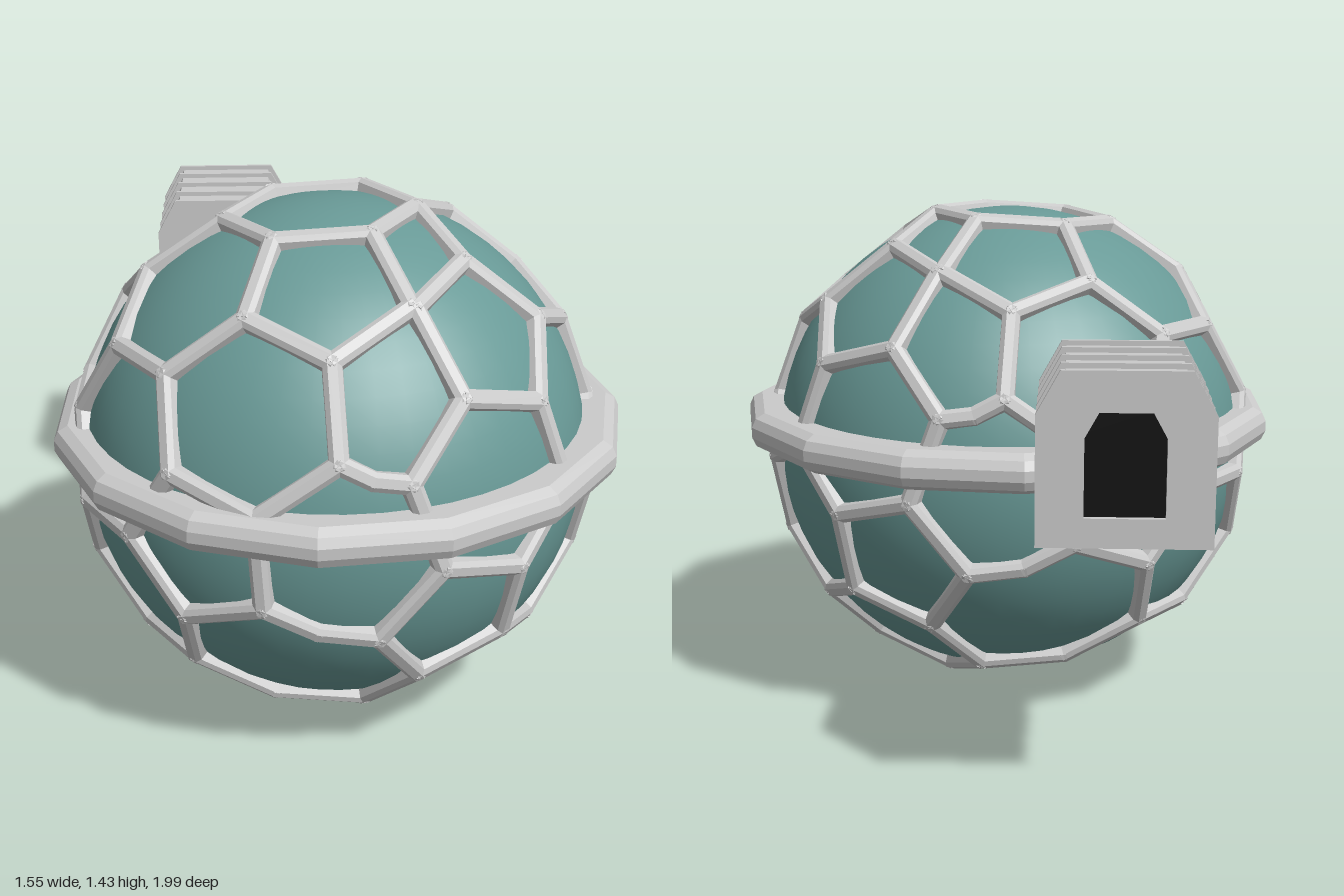
import * as THREE from 'three';

const grey = new THREE.MeshStandardMaterial({ color: 0xcccccc, flatShading: true });
const teal = new THREE.MeshStandardMaterial({ color: 0x699a97 });
const dark = new THREE.MeshStandardMaterial({ color: 0x111111 });
const CENTRE = new THREE.Vector3(-0.02, 0.735, 0.215);
const R = 0.715;

function add(parent, name, geometry, material) {
  const mesh = new THREE.Mesh(geometry, material);
  mesh.name = name;
  parent.add(mesh);
  return mesh;
}

// Corners of a honeycomb on the unit sphere, from the faces of an icosahedron
function honeycombPoints() {
  const g = (1 + Math.sqrt(5)) / 2, verts = [], points = [];
  for (const i of [1, -1]) for (const j of [g, -g]) {
    verts.push([j, i, 0], [0, j, i], [i, 0, j]);
  }
  const v = verts.map(p => new THREE.Vector3(...p).normalize());
  const near = (a, b) => a.dot(b) > 0.4;
  const mid = (a, b) => a.clone().add(b).normalize();
  for (let a = 0; a < 12; a++) for (let b = a + 1; b < 12; b++) for (let c = b + 1; c < 12; c++) {
    const f = [v[a], v[b], v[c]];
    if (!(near(f[0], f[1]) && near(f[1], f[2]) && near(f[0], f[2]))) continue;
    points.push(f[0].clone().add(f[1]).add(f[2]).normalize());
    for (let k = 0; k < 3; k++) {
      const p = f[k], q = f[(k + 1) % 3], r = f[(k + 2) % 3];
      points.push(p.clone().add(mid(p, q)).add(mid(p, r)).normalize());
    }
  }
  const tilt = new THREE.Vector3(0, 0, 1);
  return points.map(p => p.applyAxisAngle(tilt, THREE.MathUtils.degToRad(3.3)));
}

// Bar with bevelled outer face running between two points of the sphere
const barSection = new THREE.Shape([[-0.027, -0.04], [0.027, -0.04], [0.024, 0.004],
  [0.012, 0.015], [-0.012, 0.015], [-0.024, 0.004]].map(p => new THREE.Vector2(...p)));
function bar(parent, a, b) {
  const p = a.clone().multiplyScalar(R), q = b.clone().multiplyScalar(R);
  const along = q.clone().sub(p), length = along.length();
  if (length < 0.012) return;
  along.normalize();
  const out = p.clone().add(q).normalize();
  const side = new THREE.Vector3().crossVectors(out, along).normalize();
  out.crossVectors(along, side);
  const geometry = new THREE.ExtrudeGeometry(barSection, { depth: length + 0.014, bevelEnabled: false });
  geometry.translate(0, 0, -0.007);
  geometry.applyMatrix4(new THREE.Matrix4().makeBasis(side, out, along).setPosition(p));
  add(parent, 'latticeBar', geometry, grey);
}

// Half of the honeycomb, cut at a tilted plane and mirrored across it
function lattice() {
  const group = new THREE.Group();
  group.name = 'honeycombLattice';
  const angle = THREE.MathUtils.degToRad(72.3);
  const n = new THREE.Vector3(Math.sin(angle), -Math.cos(angle), 0);
  const mirror = p => p.clone().addScaledVector(n, -2 * p.dot(n));
  const points = honeycombPoints();
  points.forEach((p, i) => points.slice(i + 1).forEach(q => {
    if (p.dot(q) < 0.906) return;
    let a = p.clone(), b = q.clone();
    if (a.dot(n) > b.dot(n)) [a, b] = [b, a];
    const sa = a.dot(n), sb = b.dot(n);
    if (sa >= 0) return;
    if (sb > 0) b.lerp(a, sb / (sb - sa));
    bar(group, a, b);
    bar(group, mirror(a), mirror(b));
  }));
  return group;
}

// Square outline with cut upper corners
function house(Path, w, bottom, top, cut) {
  return new Path([[-w, bottom], [w, bottom], [w, top - cut], [w - cut * 0.55, top],
    [-w + cut * 0.55, top], [-w, top - cut]].map(p => new THREE.Vector2(...p)));
}

function prism(shape, z0, z1) {
  const geometry = new THREE.ExtrudeGeometry(shape, { depth: z1 - z0, bevelEnabled: false });
  return geometry.translate(0, 0, z0);
}

function duct() {
  const group = new THREE.Group();
  group.name = 'airDuct';
  group.position.x = -0.335;
  const hole = () => house(THREE.Path, 0.095, 0.83, 1.08, 0.06);

  const body = house(THREE.Shape, 0.195, 0.77, 1.165, 0.1);
  body.holes.push(hole());
  add(group, 'ductBody', prism(body, -0.995, -0.605), grey);

  // Thin ribs around the body
  for (const z of [-1, -0.91, -0.81, -0.71, -0.615]) {
    const rib = house(THREE.Shape, 0.208, 0.758, 1.178, 0.104);
    rib.holes.push(hole());
    add(group, 'ductRib', prism(rib, z, z + 0.012), grey);
  }
  add(group, 'ductOpening', prism(house(THREE.Shape, 0.1, 0.825, 1.085, 0.06), -0.985, -0.62), dark);

  // Neck slanting toward the dome
  const neck = prism(house(THREE.Shape, 0.16, 0.78, 1.1, 0.17), -0.62, -0.25);
  const pos = neck.attributes.position;
  for (let i = 0; i < pos.count; i++) pos.setX(i, pos.getX(i) + (pos.getZ(i) + 0.6) * 0.3);
  neck.computeVertexNormals();
  add(group, 'ductNeck', neck, grey);
  return group;
}

export function createModel() {
  const model = new THREE.Group();
  model.name = 'honeycombSphere';

  const shell = add(model, 'innerSphere', new THREE.SphereGeometry(0.693, 48, 32), teal);
  shell.position.copy(CENTRE);

  const frame = lattice();
  frame.position.copy(CENTRE);
  model.add(frame);

  // Fifteen-sided belt with bevelled edges
  const section = [[0.66, -0.055], [0.745, -0.055], [0.772, -0.04], [0.784, -0.015], [0.784, 0.015],
    [0.772, 0.04], [0.745, 0.055], [0.66, 0.055], [0.66, -0.055]].map(p => new THREE.Vector2(...p));
  const belt = add(model, 'beltRing', new THREE.LatheGeometry(section, 15), grey);
  belt.rotation.y = Math.PI / 2;
  belt.position.set(-0.009, 0.81, 0.213);

  model.add(duct());
  return model;
}
